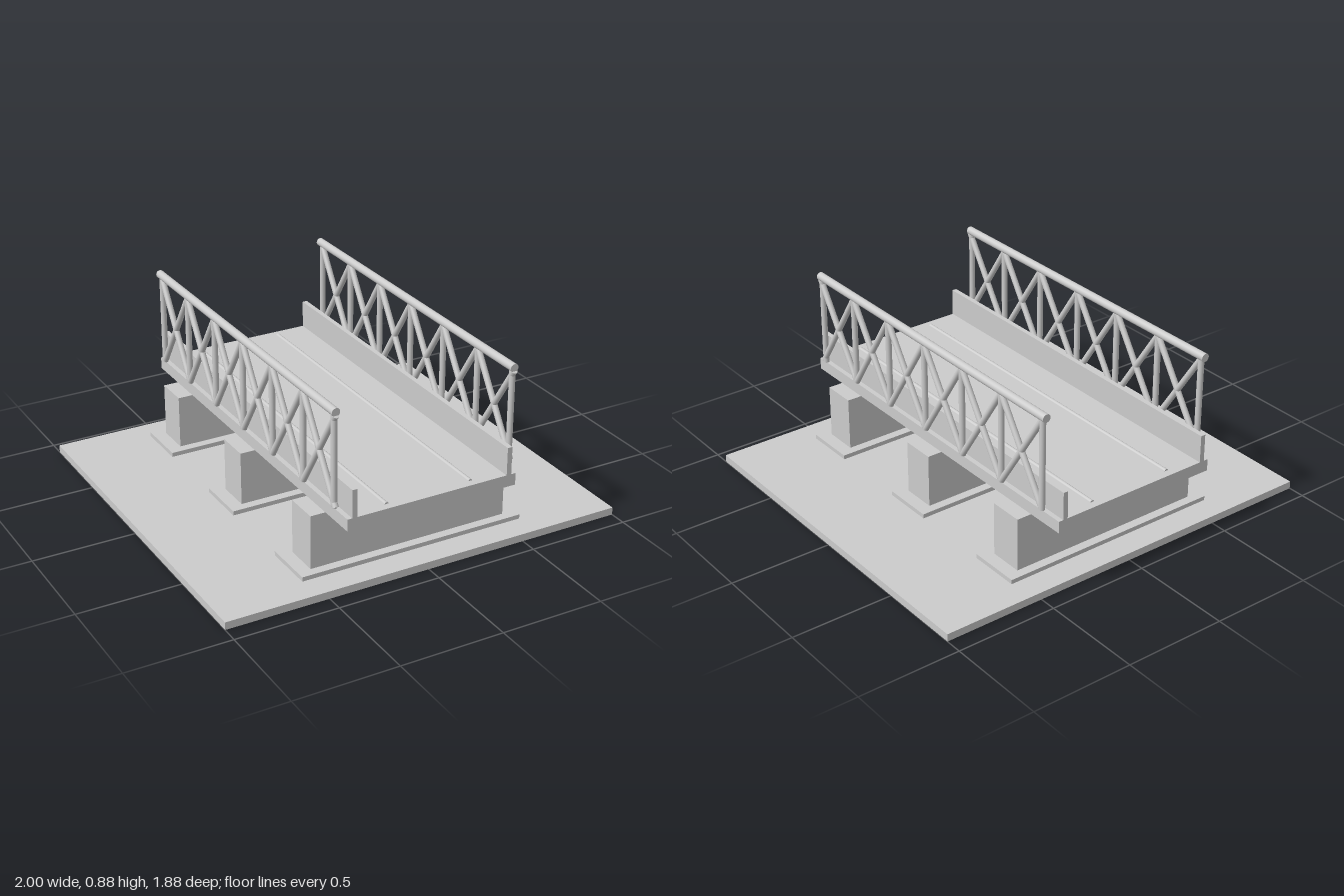
import * as THREE from 'three';

const grey = new THREE.MeshStandardMaterial({ color: 0xcccccc });

function addBox(parent, name, w, y0, y1, d, x = 0, z = 0) {
  const mesh = new THREE.Mesh(new THREE.BoxGeometry(w, y1 - y0, d), grey);
  mesh.name = name;
  mesh.position.set(x, (y0 + y1) / 2, z);
  parent.add(mesh);
}

// Round bar between two points
function addBar(parent, name, a, b, radius) {
  const dir = b.clone().sub(a);
  const mesh = new THREE.Mesh(new THREE.CylinderGeometry(radius, radius, dir.length(), 16), grey);
  mesh.name = name;
  mesh.position.copy(a).add(b).multiplyScalar(0.5);
  mesh.quaternion.setFromUnitVectors(new THREE.Vector3(0, 1, 0), dir.normalize());
  parent.add(mesh);
}

// Side truss: posts, crossed diagonals and a top chord
function makeTruss(x) {
  const truss = new THREE.Group();
  truss.name = x > 0 ? 'leftTruss' : 'rightTruss';
  const point = (y, z) => new THREE.Vector3(x, y, z);
  const bays = 6, bay = 0.2847, start = 0.866, low = 0.406, high = 0.841;
  for (let i = 0; i <= bays; i++) {
    const z = start - i * bay;
    const postZ = Math.min(z, 0.852);
    addBar(truss, 'post', point(0.4, postZ), point(0.845, postZ), 0.0145);
    if (i === bays) continue;
    addBar(truss, 'diagonal', point(low, z), point(high, z - bay), 0.0145);
    addBar(truss, 'diagonal', point(high, z), point(low, z - bay), 0.0145);
  }
  addBar(truss, 'topChord', point(0.855, 0.868), point(0.855, -0.868), 0.02);
  return truss;
}

export function createModel() {
  const bridge = new THREE.Group();
  bridge.name = 'bridge';

  addBox(bridge, 'ground', 2, 0, 0.037, 1.835);

  // Piers on footings
  for (const z of [-0.663, 0, 0.663]) {
    addBox(bridge, 'footing', 1.13, 0.037, 0.058, 0.255, 0, z);
    addBox(bridge, 'pier', 1, 0.058, 0.32, 0.167, 0, z);
  }

  addBox(bridge, 'deck', 0.853, 0.32, 0.378, 1.875);

  // Parapets, track rails and trusses on both sides
  for (const side of [-1, 1]) {
    addBox(bridge, 'parapet', 0.024, 0.378, 0.513, 1.875, side * 0.391);
    addBar(bridge, 'rail', new THREE.Vector3(side * 0.213, 0.375, 0.9),
      new THREE.Vector3(side * 0.213, 0.375, -0.9), 0.011);
    bridge.add(makeTruss(side * 0.444));
  }
  return bridge;
}
